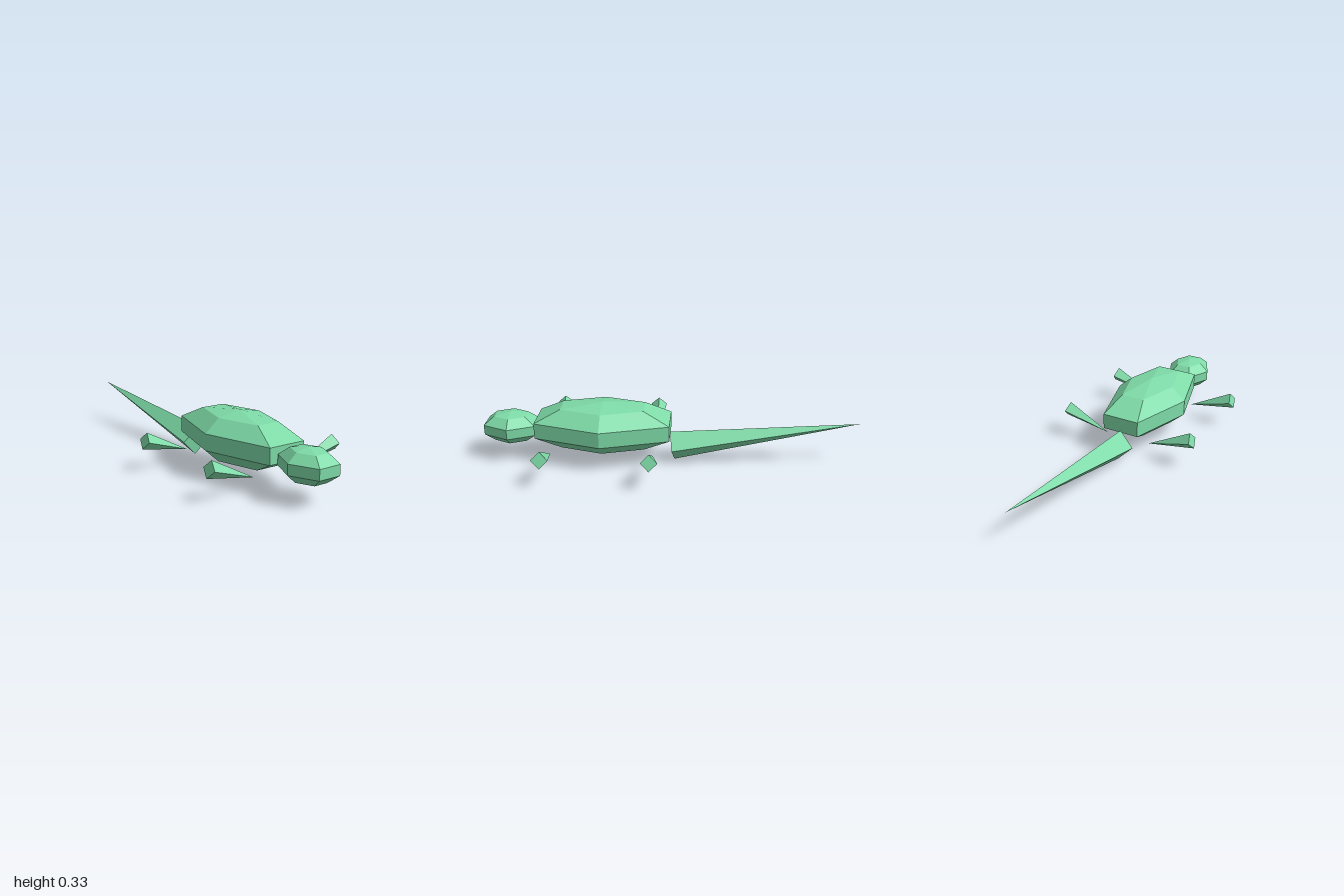
import * as THREE from 'three';

export function createModel() {
  const model = new THREE.Group();
  model.name = 'lizard';
  const green = new THREE.MeshStandardMaterial({ color: 0x7edba8, flatShading: true });
  green.name = 'lizard green';

  // Faceted ellipsoid: six sides around, five bands high
  function ellipsoid(name, position, radii) {
    const mesh = new THREE.Mesh(new THREE.SphereGeometry(1, 6, 5), green);
    mesh.name = name;
    mesh.position.set(...position);
    mesh.scale.set(...radii);
    model.add(mesh);
  }

  // Four-sided spike from the centre of its base to its tip
  function spike(name, base, tip, radius) {
    const from = new THREE.Vector3(...base);
    const axis = new THREE.Vector3(...tip).sub(from);
    const length = axis.length();
    const geometry = new THREE.ConeGeometry(radius, length, 4).translate(0, length / 2, 0);
    const mesh = new THREE.Mesh(geometry, green);
    mesh.name = name;
    mesh.position.copy(from);
    mesh.quaternion.setFromUnitVectors(new THREE.Vector3(0, 1, 0), axis.normalize());
    model.add(mesh);
  }

  ellipsoid('body', [0, 0.193, 0.357], [0.217, 0.136, 0.434]);
  ellipsoid('head', [0, 0.175, 0.857], [0.131, 0.086, 0.165]);
  spike('tail', [0, 0.081, -0.011], [0, 0.232, -1], 0.0815);

  // Legs narrow towards the body and flare at the feet
  for (const [end, z] of [['front', 0.63], ['back', 0.085]]) {
    for (const [side, s] of [['Left', 1], ['Right', -1]]) {
      spike(end + side + 'Leg', [s * 0.383, 0.164, z], [s * 0.127, 0.077, z], 0.0435);
    }
  }
  return model;
}
